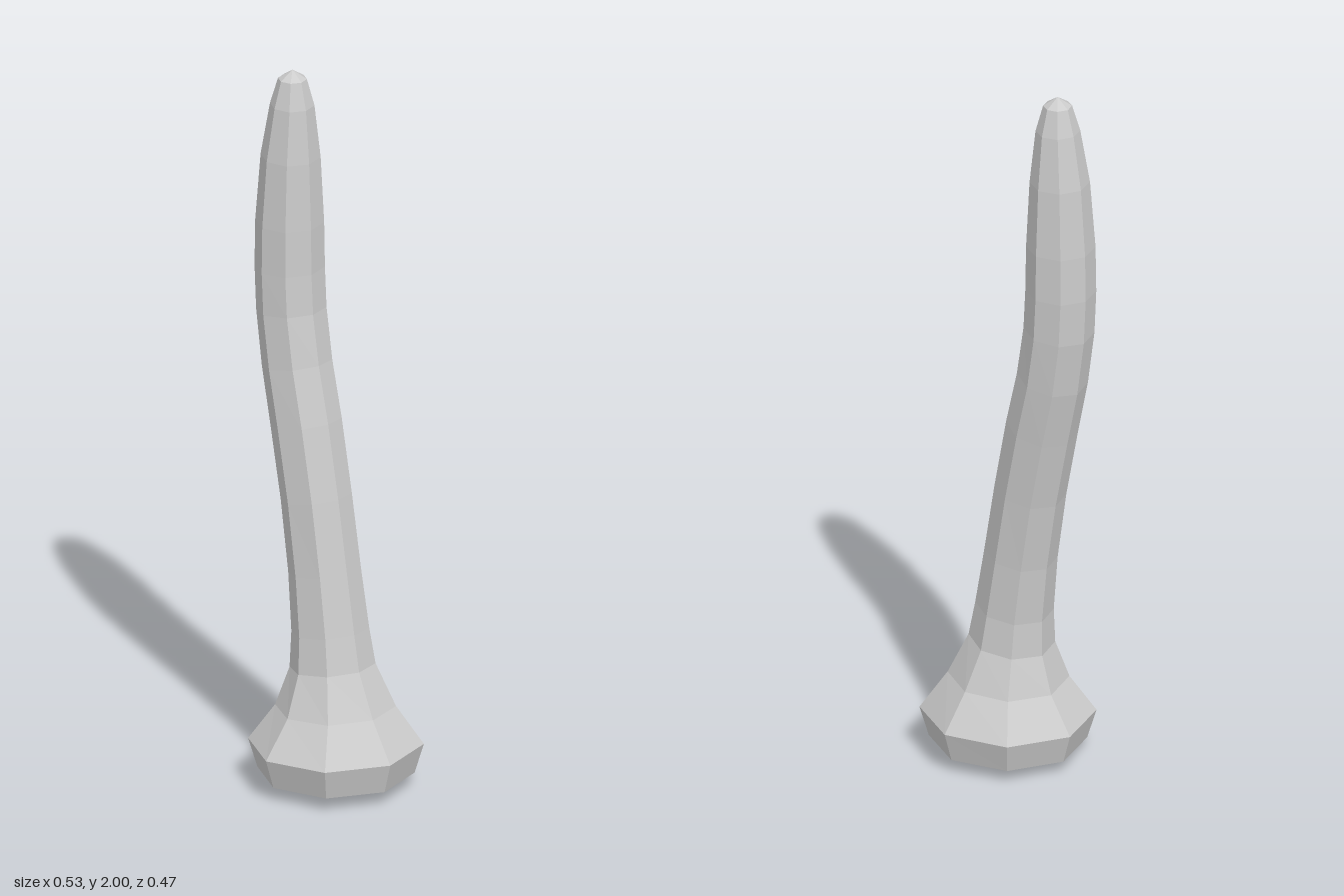
import * as THREE from 'three';

// Rings from base to tip: [centre x, height y, radius, tilt as rise per unit of x]
const RINGS = [
  [0.03, 0, 0, 0],
  [0.03, 0.037, 0.212, 0.015],
  [0.03, 0.12, 0.237, 0.02],
  [0.028, 0.223, 0.163, 0.05],
  [0.015, 0.335, 0.116, 0.13],
  [0.005, 0.435, 0.105, 0.14],
  [-0.02, 0.6, 0.098, 0.17],
  [-0.056, 0.8, 0.096, 0.2],
  [-0.1, 1.0, 0.096, 0.24],
  [-0.14, 1.16, 0.095, 0.2],
  [-0.165, 1.31, 0.095, 0.1],
  [-0.172, 1.43, 0.095, 0.02],
  [-0.172, 1.56, 0.093, 0],
  [-0.168, 1.75, 0.081, -0.02],
  [-0.161, 1.9, 0.06, -0.02],
  [-0.16, 1.974, 0.039, 0],
  [-0.16, 2.0, 0, 0],
];

export function createModel() {
  const group = new THREE.Group();
  group.name = 'curvedHandle';

  // Eight-sided turned body
  const profile = RINGS.map(([, y, r]) => new THREE.Vector2(r, y));
  const geometry = new THREE.LatheGeometry(profile, 8);

  // Shift and tilt each ring along the bent centre line
  const pos = geometry.attributes.position;
  for (let i = 0; i < pos.count; i++) {
    const [cx, cy, , tilt] = RINGS[i % RINGS.length];
    const x = pos.getX(i);
    pos.setXY(i, cx + x, cy + x * tilt);
  }
  geometry.computeVertexNormals();

  const body = new THREE.Mesh(
    geometry,
    new THREE.MeshStandardMaterial({ color: 0xcccccc, flatShading: true })
  );
  body.name = 'shaftWithFlaredBase';
  group.add(body);
  return group;
}
